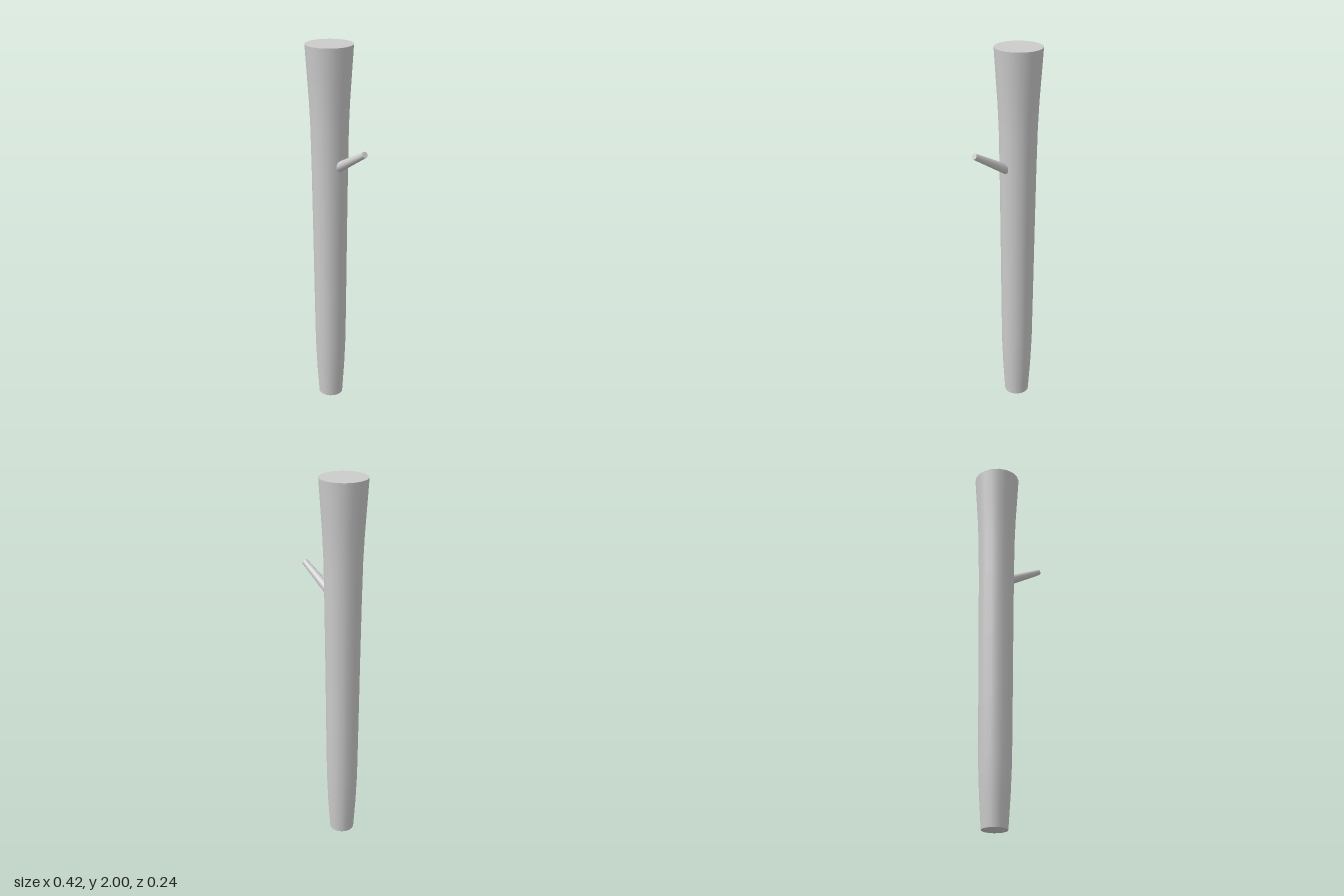
import * as THREE from 'three';

const SIDES = 18;
const AXIS_X = -0.089;

export function createModel() {
  const group = new THREE.Group();
  const material = new THREE.MeshStandardMaterial({ color: 0xcccccc });
  const add = (name, geometry, parent = group) => {
    const mesh = new THREE.Mesh(geometry, material);
    mesh.name = name;
    parent.add(mesh);
    return mesh;
  };

  // Trunk: narrow foot, nearly straight shaft, flared top
  const profile = [
    [0.066, 0], [0.077, 0.17], [0.084, 0.34], [0.0875, 0.65], [0.091, 1.0],
    [0.095, 1.35], [0.099, 1.58], [0.105, 1.72], [0.114, 1.86], [0.123, 2],
  ].map(([r, y]) => new THREE.Vector2(r, y));
  const trunk = new THREE.Group();
  trunk.name = 'trunk';
  trunk.position.x = AXIS_X;
  group.add(trunk);
  add('trunkSide', new THREE.LatheGeometry(profile, SIDES, Math.PI / 2), trunk);

  // Flat cut ends
  const top = add('trunkTop', new THREE.CircleGeometry(0.123, SIDES), trunk);
  top.rotation.x = -Math.PI / 2;
  top.position.y = 2;
  const bottom = add('trunkBottom', new THREE.CircleGeometry(0.066, SIDES), trunk);
  bottom.rotation.x = Math.PI / 2;

  // Tapered side branch, rooted inside the trunk
  const root = new THREE.Vector3(-0.06, 1.353, 0);
  const tip = new THREE.Vector3(0.202, 1.504, 0);
  const direction = tip.clone().sub(root);
  const branch = add('branch', new THREE.CylinderGeometry(0.016, 0.029, direction.length(), SIDES));
  branch.position.copy(root).add(tip).multiplyScalar(0.5);
  branch.quaternion.setFromUnitVectors(new THREE.Vector3(0, 1, 0), direction.normalize());

  return group;
}
